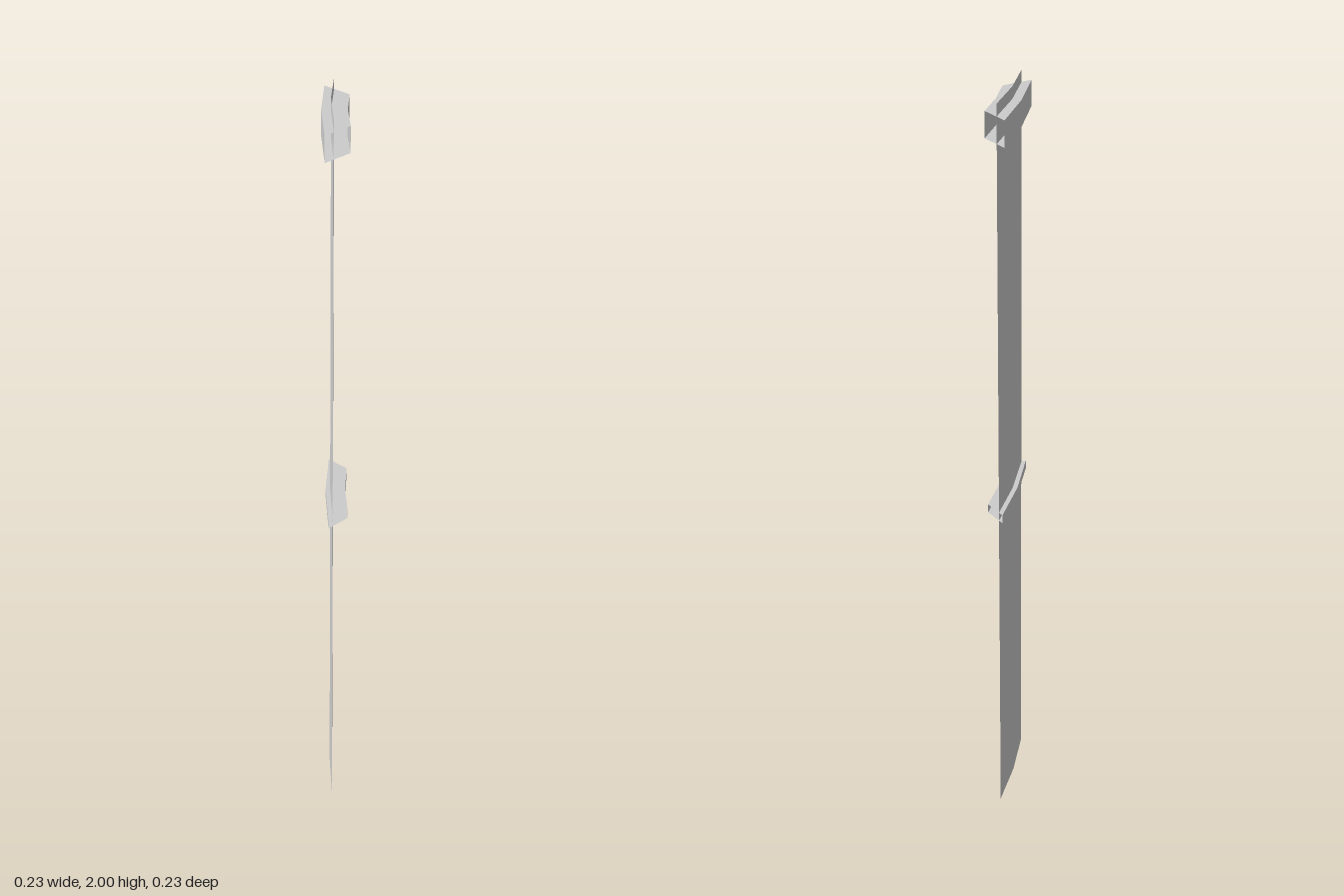
import * as THREE from 'three';

const material = new THREE.MeshStandardMaterial({ color: 0xcccccc, flatShading: true, side: THREE.DoubleSide });

// Faceted strip joining two polylines of [x, y, z] points
function strip(name, a, b) {
  const pos = [];
  for (let i = 0; i < a.length - 1; i++) {
    pos.push(...a[i], ...a[i + 1], ...b[i + 1], ...a[i], ...b[i + 1], ...b[i]);
  }
  const geo = new THREE.BufferGeometry();
  geo.setAttribute('position', new THREE.Float32BufferAttribute(pos, 3));
  geo.computeVertexNormals();
  const mesh = new THREE.Mesh(geo, material);
  mesh.name = name;
  return mesh;
}

// Lift a plan line of [x, z] points to a height
const at = (line, y) => line.map(([x, z]) => [x, y, z]);

// Bent plan lines, all cut off at z = 0.113 and x = 0.113
const panelLine = [[-0.085, 0.113], [0.01, 0.01], [0.113, -0.081]];
const frontLine = [[-0.03, 0.113], [0.038, 0.037], [0.113, -0.03]];
const upperBackLine = [[-0.114, 0.113], [-0.005, -0.007], [0.113, -0.114]];
const lowerBackLine = [[-0.1, 0.113], [0.002, 0.001], [0.113, -0.097]];

// Rail wrapping the panel: front and back walls with top and bottom, open at the ends
function rail(name, back, y0, y1) {
  const group = new THREE.Group();
  group.name = name;
  group.add(
    strip('frontWall', at(frontLine, y0), at(frontLine, y1)),
    strip('backWall', at(back, y1), at(back, y0)),
    strip('topFace', at(frontLine, y1), at(back, y1)),
    strip('bottomFace', at(back, y0), at(frontLine, y0)),
  );
  return group;
}

export function createModel() {
  const model = new THREE.Group();
  model.name = 'bentPanel';
  model.add(
    strip('panel', at(panelLine, 0), at(panelLine, 2)),
    rail('upperRail', upperBackLine, 1.905, 1.97),
    rail('lowerRail', lowerBackLine, 0.905, 0.928),
  );
  return model;
}
